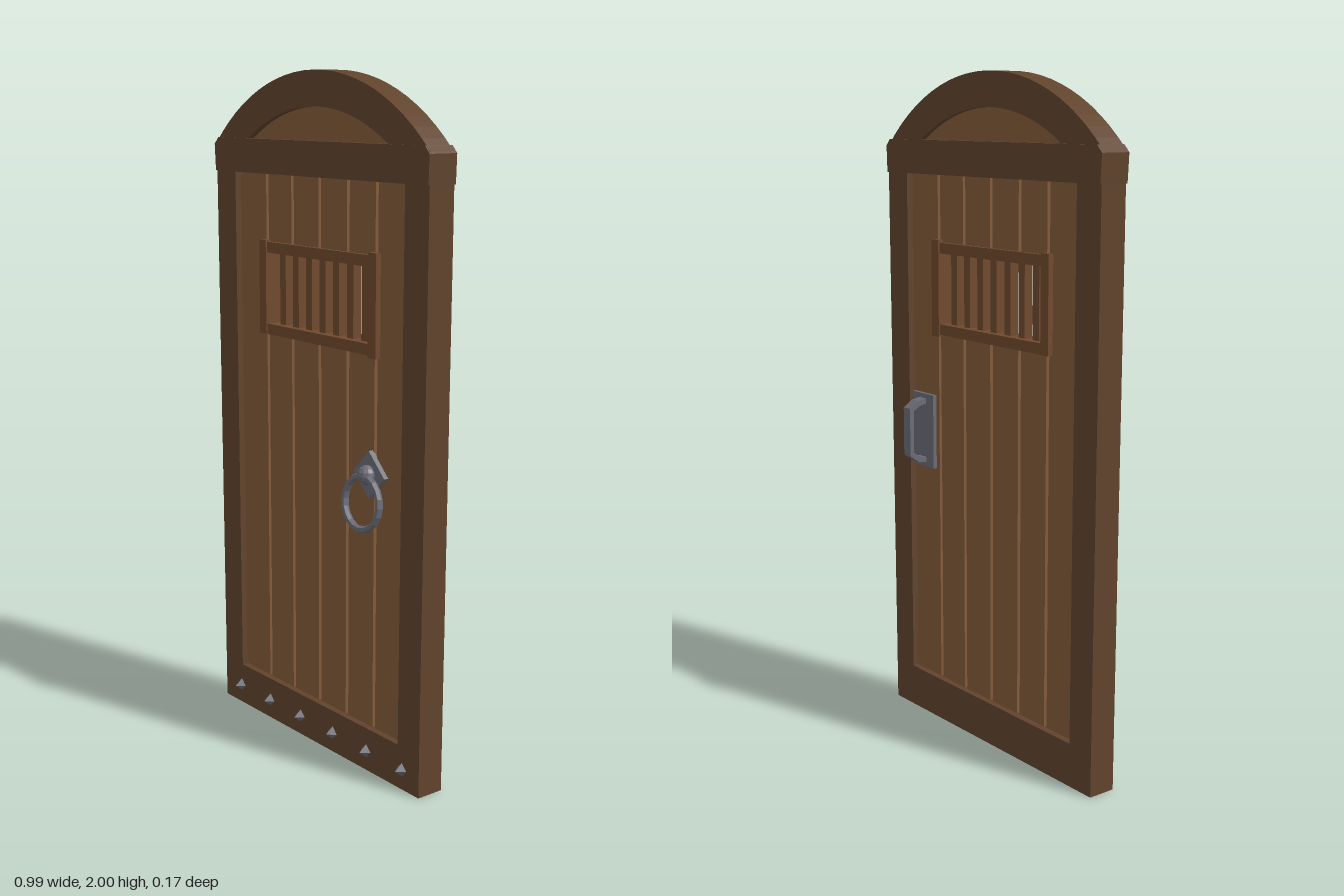
import * as THREE from 'three';

const mat = (name, color, flatShading = false) => {
  const m = new THREE.MeshStandardMaterial({ color });
  m.name = name;
  m.flatShading = flatShading;
  return m;
};

export function createModel() {
  const door = new THREE.Group();
  door.name = 'archedDoor';
  const frameWood = mat('frame wood', 0x60432c);
  const plankWood = mat('plank wood', 0x825a39);
  const trimWood = mat('window trim wood', 0x70492d);
  const grooveWood = mat('groove wood', 0x4a3220);
  const metal = mat('iron', 0x6a6b75, true);

  const add = (name, geometry, material, parent = door) => {
    const mesh = new THREE.Mesh(geometry, material);
    mesh.name = name;
    parent.add(mesh);
    return mesh;
  };
  // Box given by its limits on each axis
  const block = (name, x0, x1, y0, y1, z0, z1, material) => {
    const mesh = add(name, new THREE.BoxGeometry(x1 - x0, y1 - y0, z1 - z0), material);
    mesh.position.set((x0 + x1) / 2, (y0 + y1) / 2, (z0 + z1) / 2);
    return mesh;
  };
  // Outline in x and y, extruded from z0 to z1
  const slab = (name, shape, z0, z1, material) => {
    const geometry = new THREE.ExtrudeGeometry(shape, { depth: z1 - z0, bevelEnabled: false, curveSegments: 28 });
    return add(name, geometry.translate(0, 0, z0), material);
  };
  const polygon = (points) => new THREE.Shape(points.map(([x, y]) => new THREE.Vector2(x, y)));

  // Slightly flared side posts and the bottom and top rails
  for (const s of [-1, 1]) {
    const points = [[s * 0.478, 0], [s * 0.49, 1.78], [s * 0.393, 1.78], [s * 0.386, 0]];
    slab(s > 0 ? 'leftPost' : 'rightPost', polygon(points), -0.035, 0.05, frameWood);
  }
  block('bottomRail', -0.387, 0.387, 0, 0.13, -0.035, 0.05, frameWood);
  slab('topRail', polygon([[-0.49, 1.705], [0.49, 1.705], [0.493, 1.785], [0.475, 1.805], [-0.475, 1.805], [-0.495, 1.785]]),
    -0.04, 0.055, frameWood);

  // Arch: points along a circle of radius r centred on (0, cy), within half-width w
  const arc = (r, cy, w, n = 24) => {
    const a = Math.asin(w / r);
    return Array.from({ length: n + 1 }, (_, i) => {
      const t = -a + (2 * a * i) / n;
      return [r * Math.sin(t), cy + r * Math.cos(t)];
    });
  };
  const outer = arc(0.677, 1.323, 0.49);
  const inner = arc(0.595, 1.305, 0.335);
  slab('arch', polygon([...outer, ...inner.slice().reverse()]), -0.03, 0.05, frameWood);
  slab('archPanel', polygon(inner), -0.015, 0.03, plankWood);

  // Planks; the four middle ones are broken by the window
  const edges = [-0.395, -0.255, -0.13, 0, 0.13, 0.255, 0.395];
  for (let i = 0; i < 6; i++) {
    const x0 = edges[i] + (i ? 0.006 : 0);
    const x1 = edges[i + 1] - (i < 5 ? 0.006 : 0);
    const spans = i === 0 || i === 5 ? [[0.12, 1.72]] : [[0.12, 1.24], [1.49, 1.72]];
    for (const [y0, y1] of spans) block('plank' + (i + 1), x0, x1, y0, y1, -0.015, 0.03, plankWood);
  }
  // Thin core seen in the grooves between planks
  block('lowerCore', -0.27, 0.27, 0.12, 1.24, 0, 0.015, grooveWood);
  block('upperCore', -0.27, 0.27, 1.49, 1.72, 0, 0.015, grooveWood);

  // Barred window
  block('windowLeftTrim', 0.237, 0.272, 1.222, 1.513, -0.032, 0.047, trimWood);
  block('windowRightTrim', -0.275, -0.242, 1.228, 1.51, -0.032, 0.047, trimWood);
  block('windowSill', -0.242, 0.237, 1.228, 1.26, -0.028, 0.043, trimWood);
  block('windowHead', -0.242, 0.237, 1.473, 1.505, -0.028, 0.043, trimWood);
  for (let i = -3; i <= 3; i++) {
    block('windowBar', i * 0.064 - 0.014, i * 0.064 + 0.014, 1.255, 1.478, -0.007, 0.021, trimWood);
  }

  // Pointed studs along the bottom rail
  for (let i = 0; i < 6; i++) {
    const stud = add('stud', new THREE.ConeGeometry(0.021, 0.026, 4).rotateX(Math.PI / 2), metal);
    stud.position.set(-0.392 + i * 0.1594, 0.06, 0.062);
  }

  // Ring pull on a diamond plate
  const pull = new THREE.Group();
  pull.name = 'ringPull';
  pull.position.set(0.243, 0.89, 0.03);
  door.add(pull);
  const plate = add('diamondPlate', new THREE.BoxGeometry(0.097, 0.097, 0.018), metal, pull);
  plate.rotation.z = Math.PI / 4;
  plate.position.z = 0.006;
  add('knob', new THREE.SphereGeometry(0.029, 12, 8), metal, pull).position.z = 0.021;
  const ring = add('ring', new THREE.TorusGeometry(0.076, 0.011, 6, 20), metal, pull);
  ring.position.set(0, -0.078, 0.039);
  ring.rotation.x = -0.09;

  // Back handle on a plate, its profile given as distance behind the door and height
  block('handlePlate', 0.277, 0.385, 0.805, 1.035, -0.027, -0.013, metal);
  const profile = polygon([
    [0.02, 1.022], [0.055, 1.016], [0.087, 0.995], [0.087, 0.845], [0.055, 0.824], [0.02, 0.818],
    [0.02, 0.834], [0.05, 0.84], [0.073, 0.855], [0.073, 0.985], [0.05, 1.0], [0.02, 1.006],
  ]);
  const handle = add('backHandle', new THREE.ExtrudeGeometry(profile, { depth: 0.034, bevelEnabled: false }), metal);
  handle.rotation.y = Math.PI / 2;
  handle.position.x = 0.315;

  return door;
}
